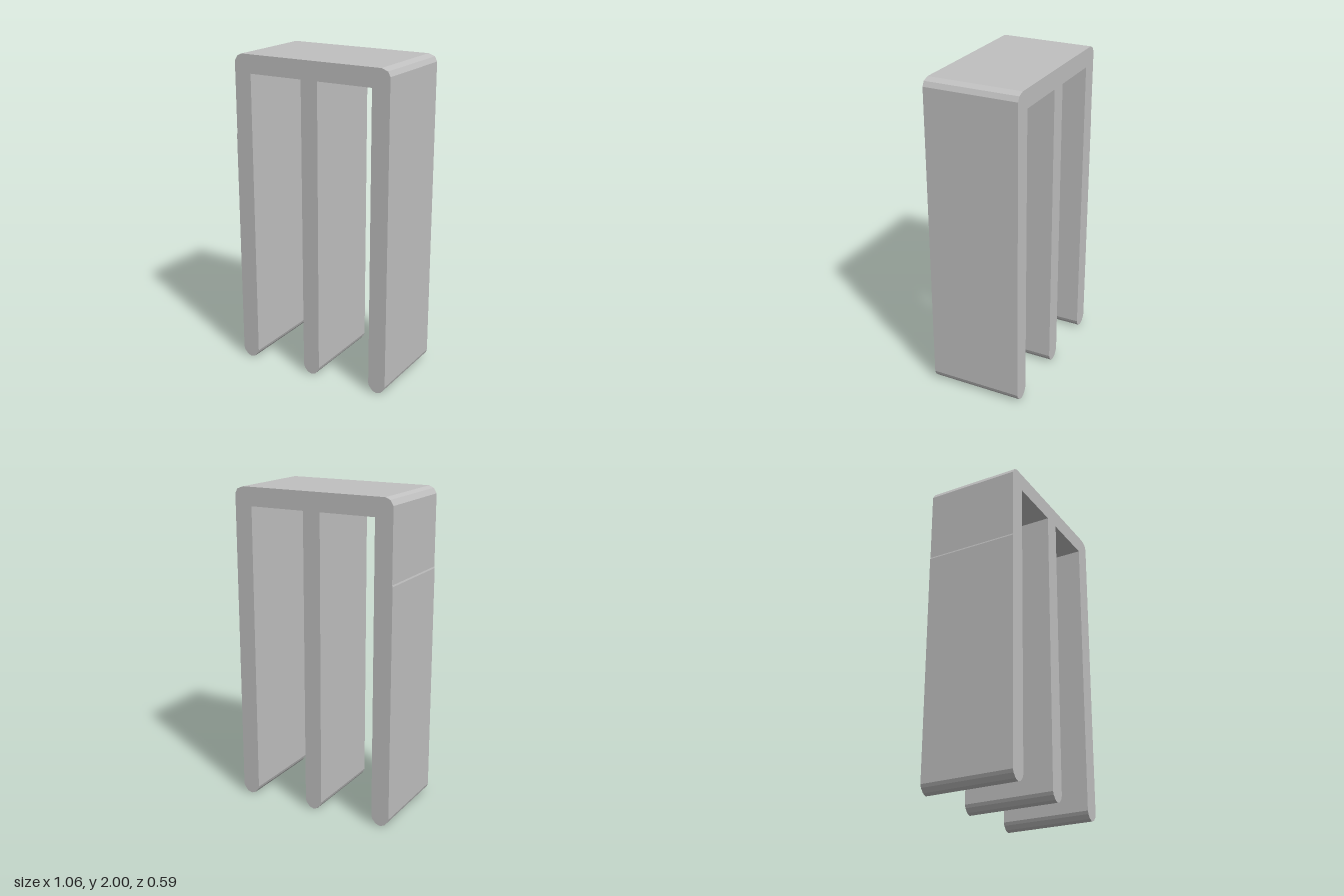
import * as THREE from 'three';

const DEPTH = 0.586;
const UNDERSIDE = 1.885;

export function createModel() {
  const model = new THREE.Group();
  model.name = 'threeProngClip';

  const grey = new THREE.MeshStandardMaterial({ color: 0xc0c0c0 });
  grey.name = 'plain grey';

  // Faceted round tip of one leg, from its left edge to its right edge
  const tip = (x0, x1) => {
    const c = (x0 + x1) / 2, r = (x1 - x0) / 2;
    return [
      [x0, 0.055], [c - r * 0.88, 0.035], [c - r * 0.5, 0.01], [c, 0],
      [c + r * 0.5, 0.01], [c + r * 0.88, 0.035], [x1, 0.055],
    ];
  };

  // Outline, counter-clockwise: three legs along the bottom, then the cap
  const outline = [
    ...tip(-0.528, -0.412), [-0.412, UNDERSIDE],
    [-0.057, UNDERSIDE], ...tip(-0.057, 0.055), [0.055, UNDERSIDE],
    [0.413, UNDERSIDE], ...tip(0.413, 0.527),
    // bevelled top corners and the slight step in the outer wall
    [0.527, 1.955], [0.512, 1.985], [0.47, 2],
    [-0.475, 2], [-0.505, 1.987], [-0.525, 1.955],
    [-0.525, 1.51], [-0.528, 1.5],
  ];

  const shape = new THREE.Shape(outline.map(([x, y]) => new THREE.Vector2(x, y)));
  const geometry = new THREE.ExtrudeGeometry(shape, { depth: DEPTH, bevelEnabled: false });
  geometry.translate(0, 0, -DEPTH / 2);

  const body = new THREE.Mesh(geometry, grey);
  body.name = 'capAndLegs';
  model.add(body);
  return model;
}
